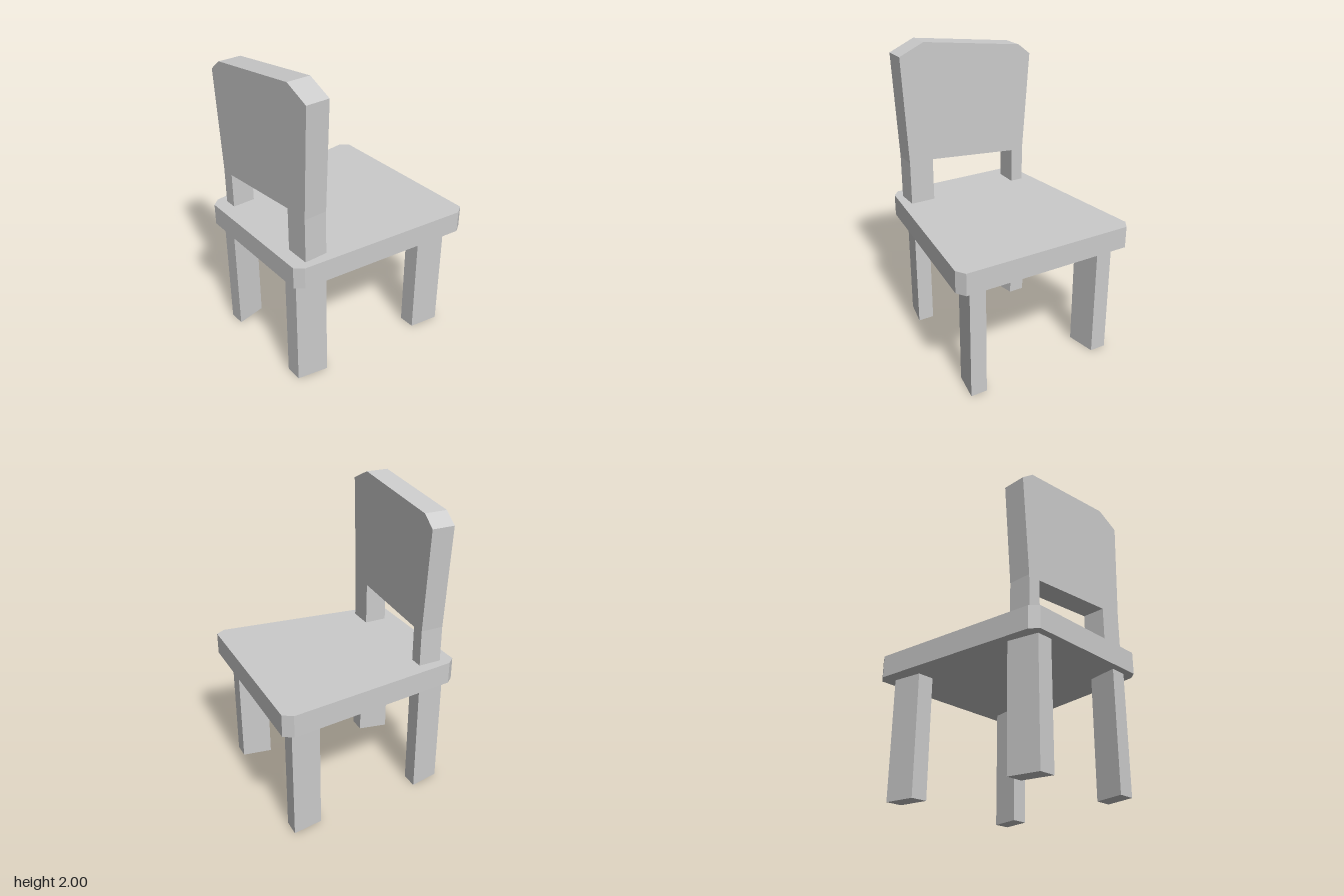
import * as THREE from 'three';

const material = new THREE.MeshStandardMaterial({ color: 0xcccccc, flatShading: true });

function slab(name, points, depth) {
  const shape = new THREE.Shape(points.map(([x, y]) => new THREE.Vector2(x, y)));
  const geometry = new THREE.ExtrudeGeometry(shape, { depth, bevelEnabled: false });
  const mesh = new THREE.Mesh(geometry, material);
  mesh.name = name;
  return mesh;
}

// Outline in (x, z), raised from y0 to y1
function plank(name, outline, y0, y1) {
  const mesh = slab(name, outline.map(([x, z]) => [x, -z]), y1 - y0);
  mesh.geometry.rotateX(-Math.PI / 2);
  mesh.geometry.translate(0, y0, 0);
  return mesh;
}

export function createModel() {
  const chair = new THREE.Group();
  chair.name = 'chair';

  // Tapered seat with clipped corners
  const half = [[0.44, 0.622], [0.485, 0.57], [0.612, -0.565], [0.572, -0.625]];
  const mirrored = half.map(([x, z]) => [-x, z]).reverse();
  chair.add(plank('seat', [...half, ...mirrored], 0.785, 0.93));

  // Legs lean in plan to follow the seat taper
  const legs = [
    { name: 'backrestLeg', x: 0.285, shift: 0.04, z0: 0.575, z1: 0.375 },
    { name: 'farLeg', x: 0.37, shift: 0.032, z0: -0.35, z1: -0.547 },
  ];
  for (const { name, x, shift, z0, z1 } of legs) {
    for (const side of [1, -1]) {
      const inset = side > 0 ? 0 : 0.013;
      const outline = [[x + inset, z0], [x + inset + 0.11, z0],
        [x + inset + 0.11 + shift, z1], [x + inset + shift, z1]];
      chair.add(plank(name + (side > 0 ? 'Left' : 'Right'),
        outline.map(([px, pz]) => [side * px, pz]), 0, 0.785));
    }
  }

  // Lopsided backrest with its two uprights
  const backrest = slab('backrest', [
    [-0.43, 0.93], [-0.342, 0.93], [-0.342, 1.165], [0.275, 1.218], [0.275, 0.93],
    [0.44, 0.93], [0.44, 1.22], [0.474, 1.925], [0.308, 2.0], [-0.39, 1.91],
    [-0.478, 1.84], [-0.43, 1.17],
  ], 0.152);
  backrest.position.z = 0.38;
  chair.add(backrest);

  return chair;
}
